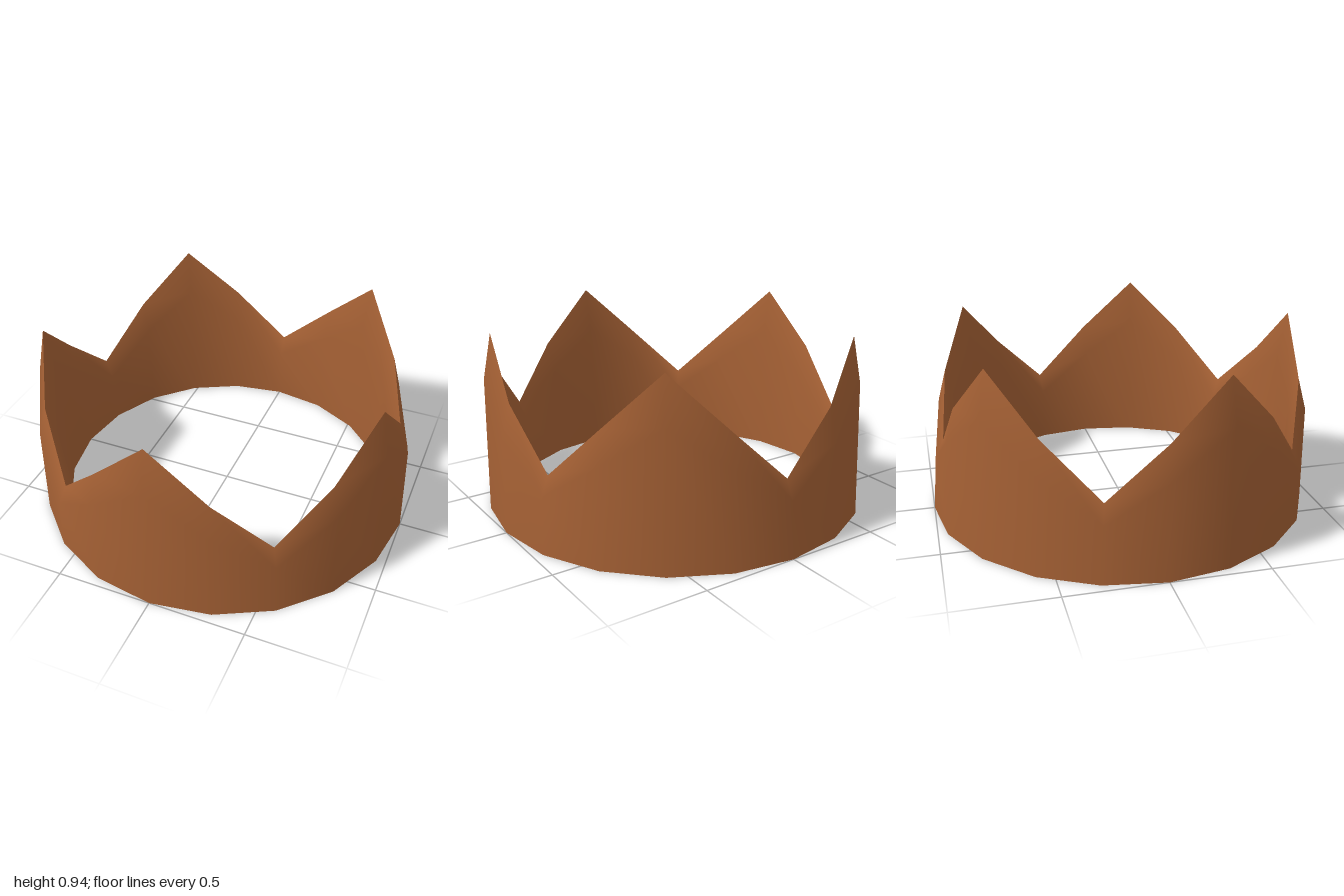
import * as THREE from 'three';

const SIDES = 20;      // columns around the ring, four per point
const PEAK = 0.94;     // height of the points
const VALLEY = 0.385;  // height of the notches
const SHIFT = 0.01;    // the upper part leans slightly forward

// Height of the zigzag rim at column i (peak, half, valley, half)
function rimHeight(i) {
  const step = Math.abs(((i - 1) % 4 + 4) % 4 - 2); // 2 peak, 1 half, 0 valley
  return VALLEY + (PEAK - VALLEY) * step / 2;
}

// Closed band through [radius, fraction of rim height] pairs
function band(profile) {
  const positions = [], index = [], rows = profile.length;
  for (let i = 0; i < SIDES; i++) {
    const a = i / SIDES * Math.PI * 2;
    for (const [r, f] of profile) {
      positions.push(r * Math.cos(a), f * rimHeight(i), r * Math.sin(a) + (f > 0 ? SHIFT : 0));
    }
    const next = (i + 1) % SIDES;
    for (let j = 0; j < rows - 1; j++) {
      const p = i * rows + j, q = next * rows + j;
      index.push(p, p + 1, q + 1, p, q + 1, q);
    }
  }
  const geometry = new THREE.BufferGeometry();
  geometry.setAttribute('position', new THREE.Float32BufferAttribute(positions, 3));
  geometry.setIndex(index);
  geometry.computeVertexNormals();
  return geometry;
}

export function createModel() {
  const bronze = new THREE.MeshStandardMaterial({ color: 0xa46034 });
  bronze.name = 'bronze';

  const crown = new THREE.Group();
  crown.name = 'crown';
  const add = (name, profile) => {
    const mesh = new THREE.Mesh(band(profile), bronze);
    mesh.name = name;
    crown.add(mesh);
  };

  // Walls thin out to a sharp zigzag rim; the base is a flat ring
  add('outerWall', [[1, 0], [0.985, 0.75], [0.94, 1]]);
  add('innerWall', [[0.94, 1], [0.895, 0.75], [0.88, 0]]);
  add('baseRing', [[0.88, 0], [1, 0]]);
  return crown;
}
